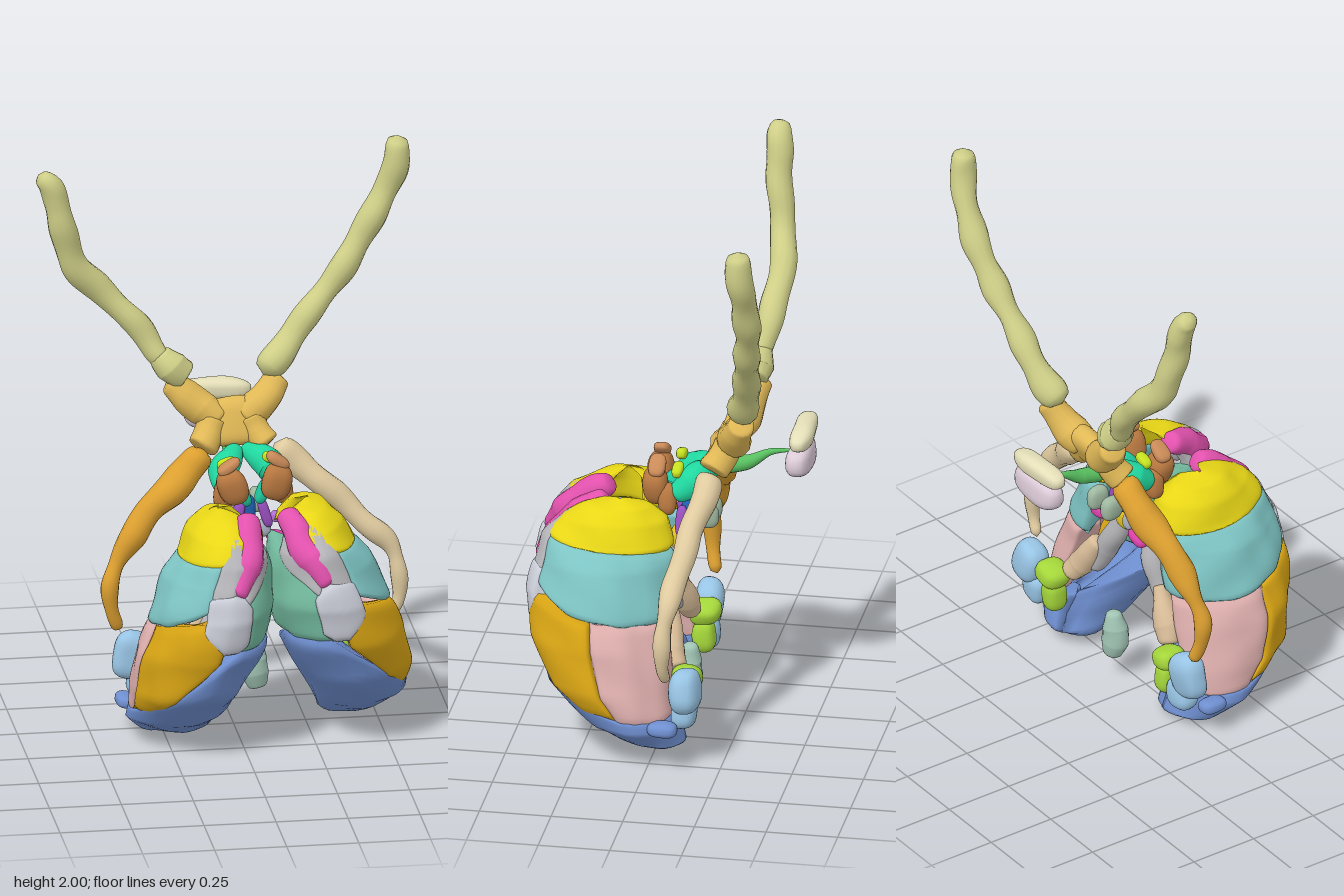
import * as THREE from 'three';
import { mergeVertices } from 'three/addons/utils/BufferGeometryUtils.js';

const V = (a) => new THREE.Vector3(...a);

// Side s (+1/-1), distance u from the symmetry plane; the plane leans and turns slightly
const place = (s, u, y, z) => [0.1 - 0.04 * y + s * u + 0.08 * z, y + 0.05 * s * u, z - 0.08 * s * u];

// Hemisphere outline per height: [y, medial, lateral, back z, front z]
const OUTLINE = [
  [0.025, 0.26, 0.34, -0.05, 0.02], [0.045, 0.19, 0.42, -0.09, 0.11], [0.12, 0.16, 0.485, -0.07, 0.25],
  [0.25, 0.1, 0.49, -0.05, 0.39], [0.4, 0.02, 0.46, -0.04, 0.45], [0.55, -0.005, 0.4, -0.04, 0.47],
  [0.66, 0.0, 0.355, -0.03, 0.44], [0.73, 0.01, 0.3, -0.025, 0.42], [0.8, 0.04, 0.265, 0.0, 0.36],
  [0.85, 0.09, 0.22, 0.06, 0.26], [0.868, 0.15, 0.16, 0.155, 0.165],
];

function lerpTable(table, f) {
  const i = Math.min(Math.floor(f), table.length - 2);
  return table[i].map((v, k) => v + (table[i + 1][k] - v) * (f - i));
}

function outlineAt(y) {
  const c = THREE.MathUtils.clamp(y, OUTLINE[0][0], OUTLINE[OUTLINE.length - 1][0]);
  let i = 0;
  while (i < OUTLINE.length - 2 && c > OUTLINE[i + 1][0]) i++;
  return lerpTable(OUTLINE, i + (c - OUTLINE[i][0]) / (OUTLINE[i + 1][0] - OUTLINE[i][0]));
}

// Gentle organic unevenness, then smooth normals
function organic(geo, amp) {
  geo.deleteAttribute('uv');
  geo.deleteAttribute('normal');
  const g = mergeVertices(geo, 1e-5);
  g.computeVertexNormals();
  const p = g.attributes.position, n = g.attributes.normal;
  for (let i = 0; i < p.count; i++) {
    const x = p.getX(i), y = p.getY(i), z = p.getZ(i);
    const d = amp * (Math.sin(31 * x + 17 * y) + Math.sin(37 * y - 21 * z + 1) + Math.sin(41 * z + 29 * x + 2));
    p.setXYZ(i, x + n.getX(i) * d, y + n.getY(i) * d, z + n.getZ(i) * d);
  }
  g.computeVertexNormals();
  return g;
}

// Closed pillow following the hemisphere; columns are [angle, bottom y, top y],
// angle 0 = outer side, 90 = front, 180 = towards the middle
function patchGeometry(s, columns, inner = 0.5, lift = 1) {
  const NU = 28, NV = 18, EDGE = 0.94, pos = [], idx = [];
  for (const outer of [1, 0]) {
    const base = pos.length / 3;
    for (let i = 0; i <= NU; i++) {
      const [deg, y0, y1] = lerpTable(columns, (i / NU) * (columns.length - 1));
      const a = THREE.MathUtils.degToRad(deg);
      const flat = deg > 0 && deg < 90 ? 1 - 0.05 * Math.sin(2 * a) : 1; // outer front tapers in
      for (let j = 0; j <= NV; j++) {
        const y = y0 + (y1 - y0) * (j / NV);
        const [, um, ul, zb, zf] = outlineAt(y);
        const round = Math.sqrt((1 - Math.abs(2 * i / NU - 1) ** 8) * (1 - Math.abs(2 * j / NV - 1) ** 8));
        const k = flat * lift * (EDGE + ((outer ? 1.01 : inner) - EDGE) * round);
        const u = (um + ul) / 2 + ((ul - um) / 2) * Math.cos(a) * k;
        const z = (zb + zf) / 2 + ((zf - zb) / 2) * Math.sin(a) * k;
        pos.push(...place(s, u, y, z));
      }
    }
    for (let i = 0; i < NU; i++) for (let j = 0; j < NV; j++) {
      const a = base + i * (NV + 1) + j, b = a + 1, c = a + NV + 1, d = c + 1;
      if ((s > 0) === (outer === 1)) idx.push(a, b, c, b, d, c);
      else idx.push(a, c, b, b, c, d);
    }
  }
  const g = new THREE.BufferGeometry();
  g.setAttribute('position', new THREE.Float32BufferAttribute(pos, 3));
  g.setIndex(idx);
  return organic(g, 0.0025);
}

// Round-ended tube whose radius varies along the path
function strandGeometry(points, radii, amp = 0.003) {
  const T = 56, R = 14;
  const curve = new THREE.CatmullRomCurve3(points.map(V));
  const g = new THREE.TubeGeometry(curve, T, 1, R);
  const p = g.attributes.position, v = new THREE.Vector3();
  for (let i = 0; i <= T; i++) {
    const t = i / T, c = curve.getPointAt(t);
    const r = lerpTable(radii.map((q) => [q]), t * (radii.length - 1))[0] * Math.sqrt(1 - Math.abs(2 * t - 1) ** 24);
    for (let j = 0; j <= R; j++) {
      const k = i * (R + 1) + j;
      v.fromBufferAttribute(p, k).sub(c).multiplyScalar(r).add(c);
      p.setXYZ(k, v.x, v.y, v.z);
    }
  }
  return organic(g, amp);
}

// Rounded lump, slightly boxy
function lumpGeometry(c, r, tilt = 0, pitch = 0) {
  const g = new THREE.SphereGeometry(1, 24, 16);
  const p = g.attributes.position;
  for (let i = 0; i < p.count; i++) {
    const q = [p.getX(i), p.getY(i), p.getZ(i)].map((w) => Math.sign(w) * Math.abs(w) ** 0.75);
    p.setXYZ(i, ...q);
  }
  g.scale(...r).rotateX(pitch).rotateZ(tilt).translate(...c);
  return organic(g, Math.min(...r) * 0.06);
}

export function createModel() {
  const root = new THREE.Group();
  root.name = 'visualPathway';
  const add = (name, color, geo, parent = root) => {
    const mesh = new THREE.Mesh(geo, new THREE.MeshStandardMaterial({ color }));
    mesh.name = name;
    parent.add(mesh);
  };

  for (const s of [-1, 1]) {
    const half = new THREE.Group();
    half.name = s > 0 ? 'leftHemisphere' : 'rightHemisphere';
    root.add(half);
    const patch = (name, color, cols, inner, lift) => add(name, color, patchGeometry(s, cols, inner, lift), half);
    const at = ([u, y, z]) => place(s, u, y, z);
    const lump = (name, color, c, r, tilt = 0) => add(name, color, lumpGeometry(at(c), r, tilt * s), half);
    const strand = (name, color, pts, radii) => add(name, color, strandGeometry(pts.map(at), radii), half);

    // Cortical bands
    patch('upperBand', 0xe8d616, [[-150, 0.77, 0.868], [-75, 0.7, 0.868], [-10, 0.71, 0.868], [45, 0.72, 0.868],
      [95, 0.74, 0.868], [155, 0.8, 0.868]], 0.4);
    patch('middleBand', 0x7ec4c4, [[-95, 0.48, 0.69], [-20, 0.48, 0.72], [25, 0.51, 0.73], [72, 0.59, 0.74]], 0.5, 1.015);
    patch('frontLowerBand', 0xd9a514, [[6, 0.17, 0.5], [40, 0.17, 0.53], [65, 0.24, 0.55], [94, 0.4, 0.54]], 0.5, 1.02);
    patch('sideLowerBand', 0xdfb0ae, [[-85, 0.16, 0.48], [-40, 0.14, 0.49], [8, 0.15, 0.5]]);
    patch('lowerLobe', 0x6f8fd0, [[-110, 0.025, 0.2], [-50, 0.025, 0.16], [10, 0.025, 0.17], [60, 0.025, 0.26],
      [110, 0.025, 0.44], [170, 0.025, 0.44], [250, 0.025, 0.22]], 0.3);
    patch('frontPad', 0xc9cbd6, [[65, 0.52, 0.63], [75, 0.48, 0.645], [92, 0.43, 0.65], [105, 0.43, 0.63], [115, 0.46, 0.59]], 0.6, 1.03);
    patch('greyStrip', 0xb4b4b8, [[68, 0.59, 0.74], [85, 0.6, 0.82], [110, 0.7, 0.85]], 0.6);
    patch('innerGreyStrip', 0xb4b4b8, [[105, 0.59, 0.68], [130, 0.64, 0.8], [160, 0.72, 0.82]], 0.6);
    patch('medialField', 0x74bca0, [[108, 0.43, 0.64], [150, 0.42, 0.74], [200, 0.43, 0.75], [230, 0.5, 0.7]], 0.4, 0.99);
    strand('frontStripe', 0xe352ae, [[0.07, 0.84, 0.21], [0.09, 0.77, 0.31], [0.13, 0.69, 0.385], [0.165, 0.63, 0.42]],
      [0.035, 0.054, 0.056, 0.035]);

    // Rear inner structures
    strand('innerCurl', 0xd8bc98, [[0.16, 0.47, -0.01], [0.2, 0.4, -0.025], [0.24, 0.34, -0.03], [0.27, 0.29, -0.05]], [0.03, 0.04, 0.045, 0.035]);
    strand('innerGreyFold', 0xb4b4b8, [[0.08, 0.66, 0.02], [0.09, 0.56, 0.01], [0.14, 0.45, 0.01], [0.2, 0.34, 0.0]], [0.025, 0.035, 0.04, 0.03]);
    lump('rearPad', 0x98c4e4, [0.425, 0.27, -0.095], [0.07, 0.08, 0.05], 0.25);
    lump('rearPadFoot', 0x98c4e4, [0.39, 0.18, -0.09], [0.055, 0.06, 0.045], 0.2);
    lump('rearKnobUpper', 0xa4d63a, [0.31, 0.28, -0.09], [0.055, 0.04, 0.055], 0.3);
    lump('rearKnobLower', 0xa4d63a, [0.3, 0.2, -0.09], [0.04, 0.06, 0.04]);
    lump('lowerCorner', 0x6f8fd0, [0.465, 0.14, -0.02], [0.04, 0.025, 0.05], 0.1);

    // Central cluster on each side
    lump('frontNucleus', 0xb87840, [0.075, 0.89, 0.045], [0.05, 0.065, 0.042], -0.25);
    lump('frontNucleusFlap', 0xc98a58, [0.085, 0.965, 0.04], [0.045, 0.02, 0.03], -0.6);
    lump('nucleusLobe', 0xb87840, [0.1, 0.85, 0.0], [0.035, 0.055, 0.03], 0.2);
    strand('innerWing', 0x20d8a0, [[0.015, 0.95, -0.17], [0.04, 0.93, -0.12], [0.085, 0.9, -0.07], [0.1, 0.86, -0.02]],
      [0.025, 0.045, 0.055, 0.03]);
    lump('smallLime', 0xc4e020, [0.08, 0.95, -0.03], [0.035, 0.02, 0.02], -0.3);
    lump('smallPurple', 0x9a4fc0, [0.05, 0.75, -0.04], [0.02, 0.055, 0.022], 0.3);
    lump('smallPink', 0xd63fa4, [0.1, 0.65, -0.06], [0.045, 0.02, 0.028], -0.2);
    lump('smallSage', 0x9fb8a0, [0.04, 0.77, -0.13], [0.025, 0.045, 0.04]);
    lump('smallViolet', 0xb070d8, [0.1, 0.72, -0.07], [0.028, 0.022, 0.022]);
    lump('smallGrey', 0xa8b0c0, [0.05, 0.69, -0.06], [0.022, 0.03, 0.022]);
    lump('smallTeal', 0x20c8a0, [0.035, 0.85, 0.01], [0.022, 0.05, 0.035], -0.4);
  }

  // Midline parts
  add('midlineBlue', 0x2060b0, lumpGeometry([0.06, 0.76, -0.06], [0.025, 0.05, 0.025]));
  add('midlineYellow', 0xe0c020, lumpGeometry([0.065, 0.67, -0.03], [0.04, 0.04, 0.03]));
  add('lowerDroplet', 0xa0c4b4, strandGeometry([[0.09, 0.28, -0.07], [0.08, 0.2, -0.07], [0.095, 0.105, -0.07]], [0.02, 0.045, 0.045, 0.03]));

  // Crossing: solid centre with four arms
  add('crossingHub', 0xe0b856, lumpGeometry([0.025, 1.035, -0.205], [0.125, 0.085, 0.042], 0, -0.45));
  for (const [x, tip] of [[-1, [-0.19, 1.17, -0.265]], [1, [0.2, 1.17, -0.27]]]) {
    const cx = 0.025 + 0.06 * x;
    add('upperArm', 0xe0b856, strandGeometry([[cx - 0.02 * x, 1.03, -0.205], [cx + 0.05 * x, 1.09, -0.235], tip], [0.05, 0.06, 0.055, 0.045]));
    add('lowerArm', 0xe0b856, strandGeometry([[cx, 1.05, -0.205], [cx + 0.025 * x, 1.0, -0.185], [cx + 0.055 * x, 0.96, -0.16]], [0.05, 0.052, 0.05]));
  }

  // Long nerves rising to the sides
  add('rightNerve', 0xcfcf88, strandGeometry([[-0.2, 1.24, -0.25], [-0.3, 1.38, -0.29], [-0.42, 1.5, -0.3], [-0.51, 1.6, -0.29],
    [-0.555, 1.73, -0.27], [-0.58, 1.84, -0.265], [-0.6, 1.91, -0.26], [-0.64, 1.95, -0.26]], [0.04, 0.042, 0.044, 0.048, 0.048, 0.046, 0.045, 0.035]));
  add('rightNerveRoot', 0xcfcf88, strandGeometry([[-0.13, 1.19, -0.25], [-0.17, 1.22, -0.25], [-0.22, 1.28, -0.26]], [0.05, 0.06, 0.04]));
  add('leftNerve', 0xcfcf88, strandGeometry([[0.14, 1.18, -0.25], [0.21, 1.25, -0.28], [0.32, 1.4, -0.31], [0.42, 1.52, -0.33],
    [0.52, 1.68, -0.345], [0.58, 1.8, -0.345], [0.61, 1.9, -0.34], [0.62, 2.0, -0.33]], [0.055, 0.05, 0.044, 0.044, 0.046, 0.046, 0.045, 0.046]));

  // Tracts running down behind the hemispheres
  add('rightTract', 0xdda030, strandGeometry([[-0.08, 0.95, -0.16], [-0.18, 0.84, -0.13], [-0.28, 0.75, -0.1], [-0.37, 0.63, -0.08],
    [-0.42, 0.52, -0.06], [-0.42, 0.43, -0.06], [-0.39, 0.34, -0.08]], [0.05, 0.058, 0.05, 0.045, 0.03, 0.025, 0.025]));
  add('leftTract', 0xe0cba0, strandGeometry([[0.17, 0.96, -0.16], [0.26, 0.88, -0.14], [0.37, 0.78, -0.11], [0.47, 0.68, -0.09],
    [0.56, 0.6, -0.07], [0.585, 0.5, -0.06], [0.58, 0.4, -0.06], [0.55, 0.34, -0.07]], [0.05, 0.05, 0.042, 0.042, 0.036, 0.027, 0.027, 0.024]));

  // Gland on its stalk
  add('glandUpper', 0xe4dfb8, lumpGeometry([-0.005, 1.065, -0.45], [0.135, 0.037, 0.04], -0.03));
  add('glandLower', 0xdccbd8, lumpGeometry([0.01, 0.985, -0.445], [0.115, 0.055, 0.045]));
  add('glandStalk', 0x58c060, strandGeometry([[0.02, 0.93, -0.17], [0.02, 0.95, -0.26], [0.01, 0.99, -0.34], [0.005, 1.0, -0.42]], [0.03, 0.028, 0.012, 0.005], 0.0005));
  return root;
}
